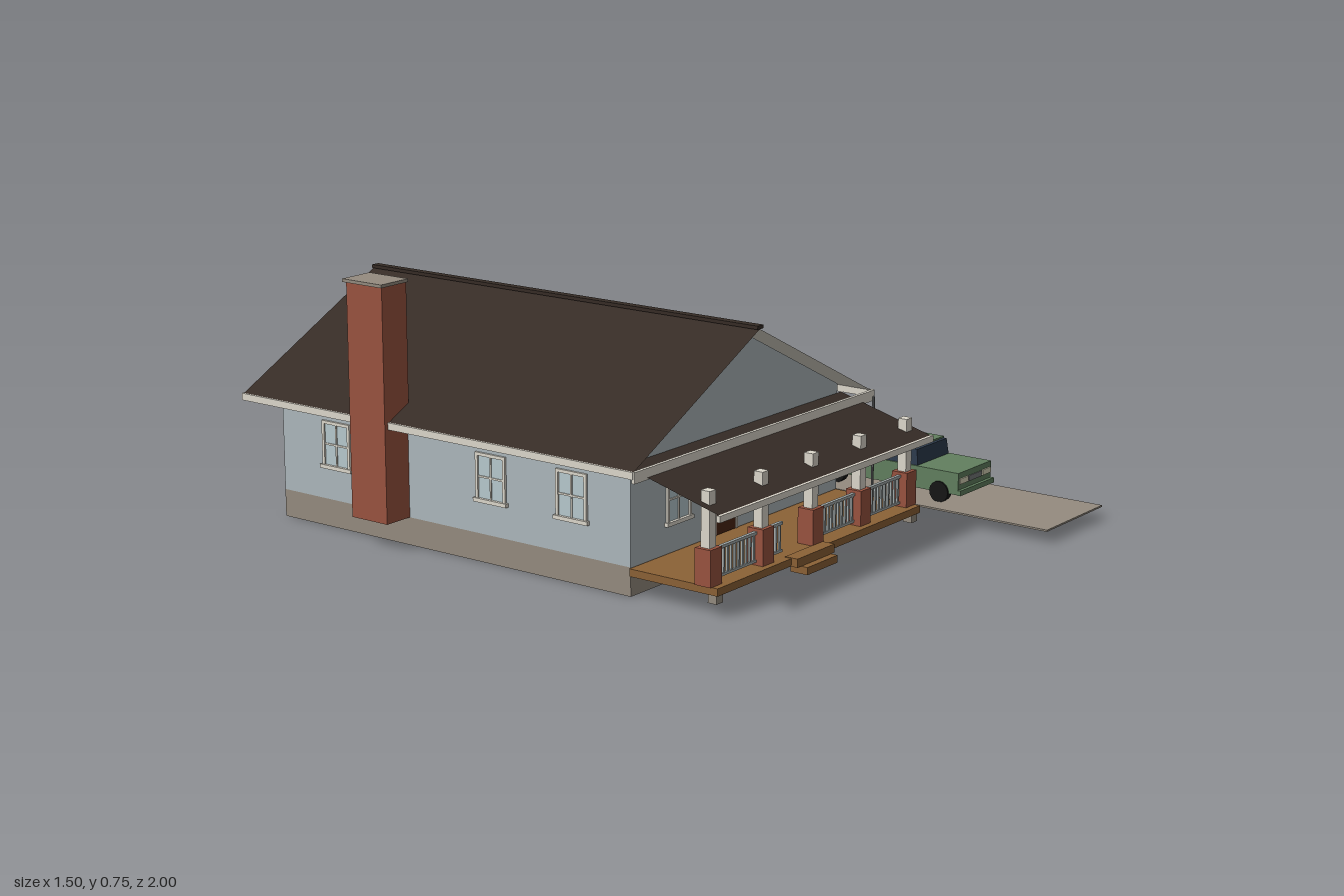
import * as THREE from 'three';

const COLORS = {
  wall: 0xaeb9bd, trim: 0xded9cd, roof: 0x362c26, brick: 0x9a5440, wood: 0x8c6236,
  stone: 0x968c80, concrete: 0x958c80, door: 0x4a2412, glass: 0xb9cbd0, rail: 0xa4acac,
  paint: 0x62805f, carGlass: 0x2c3a4c, tire: 0x161616, lamp: 0xd8d4b8, metal: 0x77797a,
};
const CX = -0.17; // centre line of the house
const mats = {};
const mat = (c, side = THREE.FrontSide) => (mats[c + side] ??=
  new THREE.MeshStandardMaterial({ color: COLORS[c], side, flatShading: true }));

function add(parent, name, geo, color, side) {
  const m = new THREE.Mesh(geo, mat(color, side));
  m.name = name;
  parent.add(m);
  return m;
}

// Box given by its limits on each axis
function box(parent, name, color, [x0, x1], [y0, y1], [z0, z1]) {
  const m = add(parent, name, new THREE.BoxGeometry(x1 - x0, y1 - y0, z1 - z0), color);
  m.position.set((x0 + x1) / 2, (y0 + y1) / 2, (z0 + z1) / 2);
  return m;
}
const about = (c, w) => [c - w / 2, c + w / 2];

function group(parent, name) {
  const g = new THREE.Group();
  g.name = name;
  parent.add(g);
  return g;
}

// Flat four-cornered panel
function panel(parent, name, color, a, b, c, d, side) {
  const g = new THREE.BufferGeometry();
  g.setAttribute('position', new THREE.Float32BufferAttribute([...a, ...b, ...c, ...d], 3));
  g.setIndex([0, 1, 2, 0, 2, 3]);
  g.computeVertexNormals();
  return add(parent, name, g, color, side);
}

// Window facing +z, base at y = 0, with frame, sill and glazing bars
function makeWindow(parent, x, y, z, turn, w = 0.105, h = 0.135, columns = 2) {
  const g = group(parent, 'window'), t = 0.009;
  box(g, 'glass', 'glass', about(0, w), [0, h], [-0.002, 0.002]);
  for (const s of [-1, 1]) box(g, 'frameSide', 'trim', about(s * (w - t) / 2, t), [0, h], [0, 0.007]);
  box(g, 'frameTop', 'trim', about(0, w), [h - t, h], [0, 0.007]);
  box(g, 'sill', 'trim', about(0, w + 0.012), [-0.004, 0.007], [0, 0.011]);
  box(g, 'crossBar', 'trim', about(0, w), about(h / 2, 0.005), [0, 0.005]);
  for (let i = 1; i < columns; i++)
    box(g, 'uprightBar', 'trim', about(-w / 2 + w * i / columns, 0.005), [0, h], [0, 0.005]);
  g.position.set(x, y, z);
  g.rotation.y = turn;
}

function makeDoor(parent, x, z, turn, w, h) {
  const g = group(parent, 'door');
  box(g, 'doorLeaf', 'door', about(0, w), [0, h], [-0.002, 0.005]);
  for (const s of [-1, 1]) box(g, 'doorFrame', 'trim', about(s * (w / 2 + 0.005), 0.01), [0, h], [0, 0.007]);
  box(g, 'doorHead', 'trim', about(0, w + 0.02), [h, h + 0.01], [0, 0.007]);
  g.position.set(x, 0.08, z);
  g.rotation.y = turn;
}

function makeHouse(root) {
  const g = group(root, 'house'), front = 0.375, back = -0.88, half = 0.48;
  box(g, 'foundation', 'stone', about(CX, 2 * half), [0, 0.08], [back, front]);

  // Walls with gables in one extrusion
  const s = new THREE.Shape();
  s.moveTo(-half, 0.08).lineTo(half, 0.08).lineTo(half, 0.39).lineTo(0, 0.63).lineTo(-half, 0.39);
  const walls = add(g, 'walls', new THREE.ExtrudeGeometry(s, { depth: front - back, bevelEnabled: false }), 'wall');
  walls.position.set(CX, 0, back);

  // Roof slopes, dark above and pale below
  const zf = 0.445, zb = -0.957, ridge = 0.645, eave = 0.367, hw = 0.555;
  for (const side of [-1, 1]) {
    const at = (y, dx, z, drop) => [CX + side * dx, y - drop, z];
    const slope = (name, color, drop, flip) => {
      const p = [at(ridge, 0, zf, drop), at(eave, hw, zf, drop), at(eave, hw, zb, drop), at(ridge, 0, zb, drop)];
      if (flip) p.reverse();
      panel(g, name, color, ...p);
    };
    slope('roofSlope', 'roof', 0, side < 0);
    slope('soffit', 'trim', 0.003, side > 0);
    box(g, 'eaveBoard', 'trim', about(CX + side * hw, 0.012), [0.347, 0.367], [zb, zf]);
  }
  box(g, 'ridgeCap', 'roof', about(CX, 0.026), [0.643, 0.653], [zb, zf]);
  box(g, 'frontGableBoard', 'trim', about(CX, 2 * hw + 0.008), [0.336, 0.367], about(zf, 0.01));
  box(g, 'backGableBoard', 'trim', about(CX, 2 * hw + 0.008), [0.347, 0.367], about(zb, 0.01));

  // Openings
  for (const z of [0.045, -0.255, -0.557]) makeWindow(g, CX + half, 0.175, z, Math.PI / 2);
  for (const z of [0.18, -0.1, -0.67]) makeWindow(g, CX - half, 0.175, z, -Math.PI / 2);
  for (const x of [-0.235, 0.235]) makeWindow(g, CX + x, 0.175, back, Math.PI);
  makeWindow(g, -0.445, 0.16, front, 0);
  makeWindow(g, 0.033, 0.16, front, 0, 0.23, 0.135, 4);
  makeDoor(g, -0.235, front, 0, 0.09, 0.2);
  makeDoor(g, CX, back, Math.PI, 0.08, 0.185);
  box(g, 'backStoop', 'concrete', about(CX, 0.175), [0.035, 0.08], [-1, back]);

  // Chimney
  box(g, 'chimney', 'brick', [-0.743, -0.645], [0.08, 0.745], [-0.53, -0.4]);
  box(g, 'chimneyCap', 'concrete', [-0.75, -0.642], [0.745, 0.754], [-0.538, -0.395]);

  const pipe = add(g, 'downspout', new THREE.CylinderGeometry(0.004, 0.004, 0.315, 8), 'metal');
  pipe.position.set(0.376, 0.193, 0.456);
}

function makePorch(root) {
  const g = group(root, 'porch'), postZ = 0.617;
  const posts = [-2, -1, 0, 1, 2].map((i) => -0.173 + i * 0.232);
  box(g, 'porchFloor', 'wood', [-0.655, 0.31], [0.057, 0.078], [0.375, 0.66]);
  box(g, 'upperStep', 'wood', [-0.325, -0.15], [0.056, 0.08], [0.64, 0.68]);
  box(g, 'lowerStep', 'wood', [-0.307, -0.165], [0.035, 0.056], [0.645, 0.7]);
  box(g, 'stepFooting', 'concrete', [-0.325, -0.147], [0.033, 0.057], [0.375, 0.485]);
  for (const x of [posts[0], posts[4]])
    box(g, 'cornerFooting', 'concrete', about(x, 0.028), [0.033, 0.057], about(0.64, 0.028));

  for (const x of posts) {
    box(g, 'brickPier', 'brick', about(x, 0.05), [0.078, 0.178], about(postZ, 0.05));
    box(g, 'post', 'trim', about(x, 0.028), [0.178, 0.33], about(postZ, 0.028));
  }

  // Railings, with a gap at the steps
  const rails = [[posts[0], posts[1]], [posts[1], -0.31], [posts[2], posts[3]], [posts[3], posts[4]]];
  for (const [a, b] of rails) {
    const r = group(g, 'railing'), x0 = a + 0.025, x1 = b === -0.31 ? b : b - 0.025;
    box(r, 'topRail', 'rail', [x0, x1], [0.162, 0.17], about(postZ, 0.01));
    box(r, 'bottomRail', 'rail', [x0, x1], [0.086, 0.093], about(postZ, 0.008));
    const n = Math.round((x1 - x0) / 0.0165);
    for (let i = 0; i < n; i++)
      box(r, 'baluster', 'rail', about(x0 + (x1 - x0) * (i + 0.5) / n, 0.006), [0.086, 0.165], about(postZ, 0.006));
  }

  // Lean-to roof and its front board
  panel(g, 'porchRoof', 'roof', [-0.675, 0.28, 0.68], [0.33, 0.28, 0.68],
    [0.33, 0.362, 0.375], [-0.675, 0.362, 0.375], THREE.DoubleSide);
  box(g, 'porchFascia', 'trim', [-0.68, 0.333], [0.263, 0.281], [0.674, 0.685]);
}

function makeCar(root) {
  const g = group(root, 'car'), cx = 0.592;
  box(g, 'carBody', 'paint', about(cx, 0.18), [0.065, 0.13], [0.175, 0.667]);

  // Tapered cabin: dark glass with a painted roof
  const cabin = new THREE.BoxGeometry(0.17, 0.046, 0.222), p = cabin.attributes.position;
  for (let i = 0; i < p.count; i++)
    if (p.getY(i) > 0) p.setXYZ(i, p.getX(i) * 0.95, p.getY(i), p.getZ(i) * 0.95);
  cabin.computeVertexNormals();
  add(g, 'cabin', cabin, 'carGlass').position.set(cx, 0.153, 0.415);
  box(g, 'carRoof', 'paint', about(cx, 0.164), [0.176, 0.181], about(0.41, 0.2));

  for (const z of [0.17, 0.671]) box(g, 'bumper', 'paint', about(cx, 0.186), [0.065, 0.08], about(z, 0.012));
  box(g, 'grille', 'metal', about(cx, 0.07), [0.096, 0.112], [0.665, 0.67]);
  for (const s of [-1, 1]) {
    box(g, 'headlight', 'lamp', about(cx + s * 0.062, 0.044), [0.097, 0.113], [0.665, 0.671]);
    box(g, 'tailLight', 'brick', about(cx + s * 0.07, 0.026), [0.097, 0.113], [0.171, 0.176]);
    for (const z of [0.25, 0.605]) {
      const w = add(g, 'wheel', new THREE.CylinderGeometry(0.031, 0.031, 0.022, 16), 'tire');
      w.rotation.z = Math.PI / 2;
      w.position.set(cx + s * 0.085, 0.067, z);
    }
  }
}

export function createModel() {
  const root = new THREE.Group();
  root.name = 'bungalowWithDriveway';
  makeHouse(root);
  makePorch(root);
  box(root, 'driveway', 'concrete', [0.432, 0.747], [0.033, 0.038], [-0.47, 1]);
  makeCar(root);
  return root;
}
